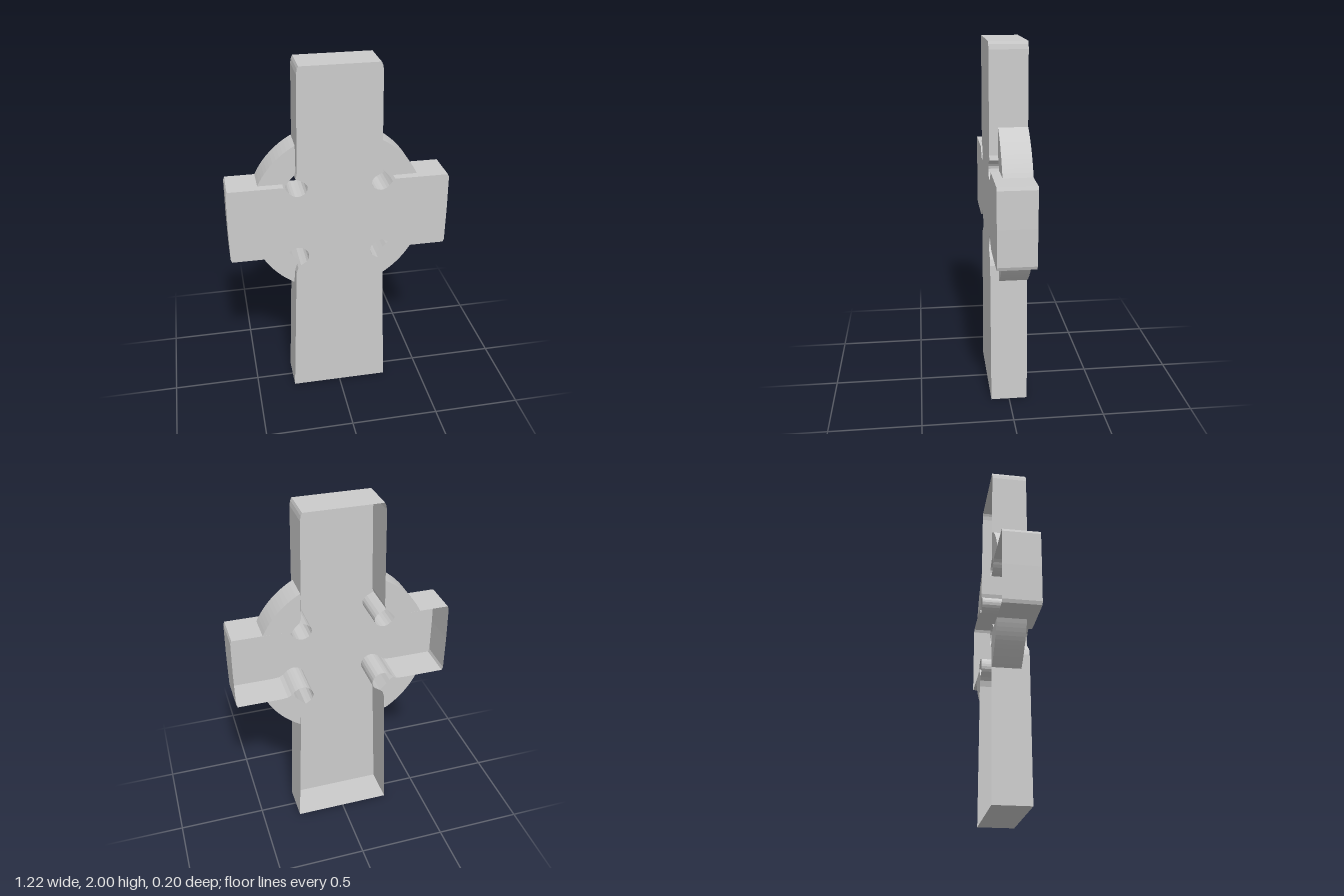
import * as THREE from 'three';

const FRONT = 0.102, BACK = -0.102, RING_FRONT = 0.055;
const CY = 1.137, R_IN = 0.353, R_OUT = 0.488;
const material = new THREE.MeshStandardMaterial({ color: 0xcccccc, side: THREE.DoubleSide });
const V = (x, y) => new THREE.Vector2(x, y);
const mirror = (pts) => pts.map((p) => V(-p.x, p.y)).reverse();

// smooth curve through a few points
const curve = (pts, n = 14) => new THREE.SplineCurve(pts.map(([x, y]) => V(x, y))).getPoints(n);

// arc about the ring centre, from the direction of point a to that of point b
function arc(r, a, b, n) {
  const t0 = Math.atan2(a.y - CY, a.x), t1 = Math.atan2(b.y - CY, b.x);
  return Array.from({ length: n + 1 }, (_, i) => {
    const t = t0 + ((t1 - t0) * i) / n;
    return V(r * Math.cos(t), CY + r * Math.sin(t));
  });
}

// side wall swept along a path that runs anticlockwise seen from the front
function wall(name, pts, z0, z1) {
  const pos = [];
  for (let i = 0; i < pts.length - 1; i++) {
    const a = pts[i], b = pts[i + 1];
    pos.push(a.x, a.y, z0, b.x, b.y, z0, b.x, b.y, z1);
    pos.push(a.x, a.y, z0, b.x, b.y, z1, a.x, a.y, z1);
  }
  const geo = new THREE.BufferGeometry();
  geo.setAttribute('position', new THREE.Float32BufferAttribute(pos, 3));
  geo.computeVertexNormals();
  const mesh = new THREE.Mesh(geo, material);
  mesh.name = name;
  return mesh;
}

// flat face at depth z; a back face is turned round to look towards -z
function face(name, pts, z, back = false) {
  const geo = new THREE.ShapeGeometry(new THREE.Shape(pts));
  if (back) {
    geo.scale(-1, 1, 1);
    geo.rotateY(Math.PI);
    geo.computeVertexNormals();
  }
  const mesh = new THREE.Mesh(geo, material);
  mesh.name = name;
  mesh.position.z = z;
  return mesh;
}

export function createModel() {
  const model = new THREE.Group();
  model.name = 'ringedCross';

  // round bites at the crossing, lower and upper
  const lowerBite = curve([[0.222, 0.86], [0.185, 0.886], [0.175, 0.92], [0.192, 0.958],
    [0.233, 0.976], [0.272, 0.963], [0.3, 0.938]]);
  const upperBite = curve([[0.292, 1.337], [0.27, 1.308], [0.233, 1.29], [0.19, 1.305],
    [0.175, 1.34], [0.195, 1.372], [0.24, 1.395]]);

  // left half of the cross outline, from foot to top
  const stem = [V(0.249, 0.81), V(0.238, 0.843)];
  const armUnder = [V(0.32, 0.926), V(0.36, 0.922)];
  const armOver = [V(0.305, 1.35)];
  const head = [V(0.232, 1.42)];
  const half = [
    V(0.28, 0), ...stem, ...lowerBite, ...armUnder,
    V(0.603, 0.922), V(0.61, 0.94), V(0.612, 1.137), V(0.61, 1.333), V(0.603, 1.35),
    ...armOver, ...upperBite, ...head,
    V(0.222, 1.96), V(0.217, 1.985), V(0.21, 2),
  ];
  const outline = [...half, ...mirror(half)];

  // cross body: a front face and side walls, open at the back
  const cross = new THREE.Group();
  cross.name = 'cross';
  cross.add(face('crossFront', outline, FRONT));
  cross.add(wall('crossSides', [...outline, outline[0]], BACK, FRONT));
  model.add(cross);

  // ring quarters between the arms, set back from the front
  const quarters = [
    { name: 'lower', from: V(0.257, 0.722), to: V(0.438, 0.922),
      biteStart: lowerBite[0], biteEnd: lowerBite.at(-1),
      first: stem.slice().reverse(), last: armUnder.slice().reverse() },
    { name: 'upper', from: V(0.438, 1.35), to: V(0.231, 1.565),
      biteStart: upperBite[0], biteEnd: upperBite.at(-1),
      first: armOver, last: head },
  ];
  for (const q of quarters) {
    const outer = arc(R_OUT, q.from, q.to, 12);
    const inner = [q.biteEnd, ...arc(R_IN, q.biteEnd, q.biteStart, 4).slice(1, -1), q.biteStart];
    const loop = [...outer, ...q.last, ...inner, ...q.first];
    for (const side of ['left', 'right']) {
      const flip = (pts) => (side === 'left' ? pts : mirror(pts));
      const quarter = new THREE.Group();
      quarter.name = `${side}${q.name === 'upper' ? 'Upper' : 'Lower'}RingQuarter`;
      quarter.add(face('ringFront', flip(loop), RING_FRONT));
      quarter.add(face('ringBack', flip(loop), BACK, true));
      quarter.add(wall('ringOuterWall', flip(outer), BACK, RING_FRONT));
      quarter.add(wall('ringInnerWall', flip(inner), BACK, RING_FRONT));
      model.add(quarter);
    }
  }
  return model;
}
